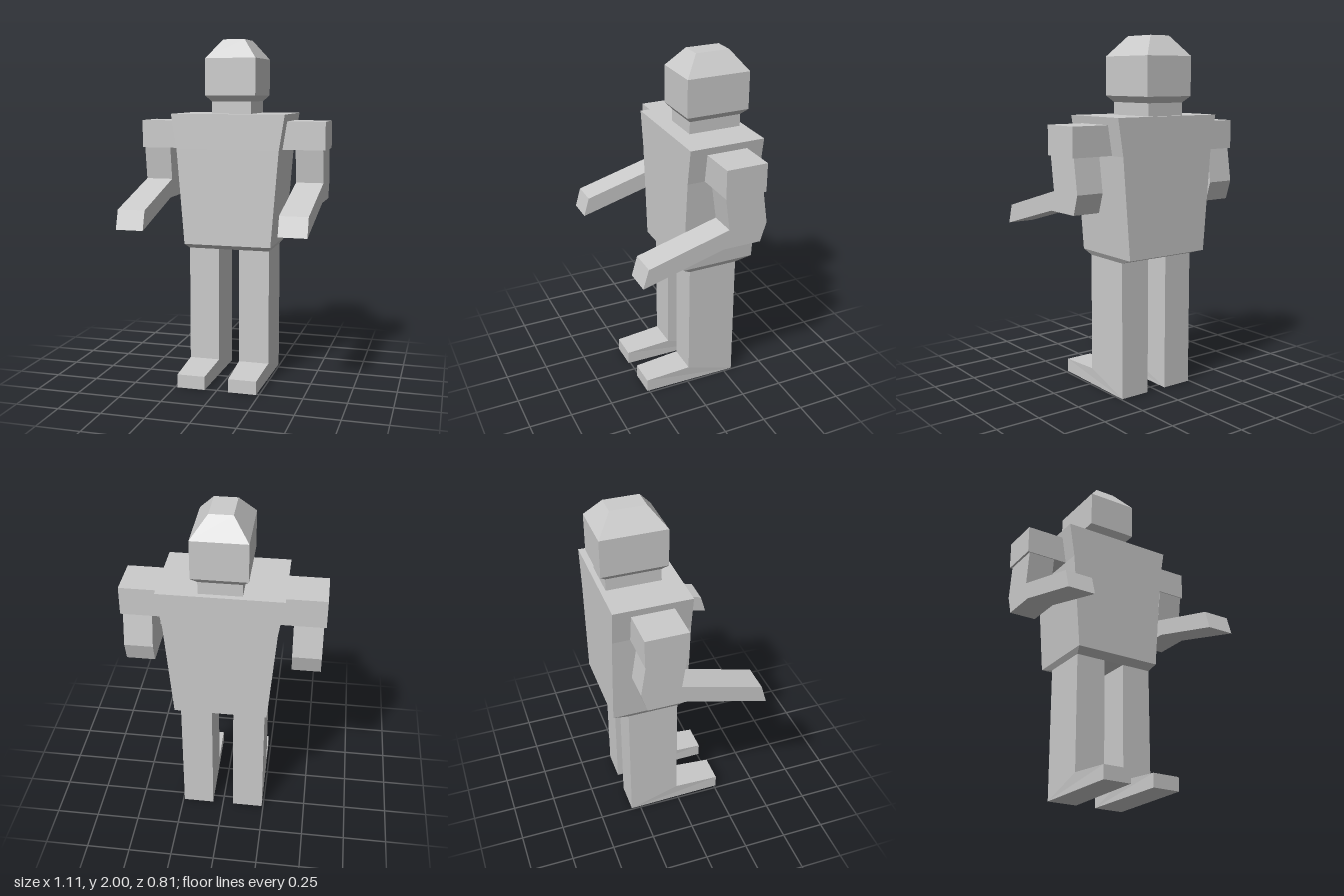
import * as THREE from 'three';

const material = new THREE.MeshStandardMaterial({ color: 0xcccccc, flatShading: true });

function add(parent, name, geometry) {
  const mesh = new THREE.Mesh(geometry, material);
  mesh.name = name;
  parent.add(mesh);
  return mesh;
}

// Solid through rectangular sections [y, half width, back z, front z], bottom to top
function loftRects(sections) {
  const positions = [];
  const rings = sections.map(([y, w, back, front]) => [[-w, y, front], [w, y, front], [w, y, back], [-w, y, back]]);
  const quad = (a, b, c, d) => positions.push(...a, ...b, ...c, ...a, ...c, ...d);
  for (let i = 0; i < rings.length - 1; i++) {
    const lo = rings[i], hi = rings[i + 1];
    for (let k = 0; k < 4; k++) {
      const n = (k + 1) % 4;
      quad(lo[k], lo[n], hi[n], hi[k]);
    }
  }
  quad(...rings[rings.length - 1]);
  quad(...[...rings[0]].reverse());
  const geometry = new THREE.BufferGeometry();
  geometry.setAttribute('position', new THREE.Float32BufferAttribute(positions, 3));
  geometry.computeVertexNormals();
  return geometry;
}

// Side outline of [z, y] points, extruded across x and centred on centreX
function sideProfile(points, width, centreX) {
  const shape = new THREE.Shape(points.map(([z, y]) => new THREE.Vector2(z, y)));
  const geometry = new THREE.ExtrudeGeometry(shape, { depth: width, bevelEnabled: false });
  geometry.rotateY(-Math.PI / 2);
  geometry.translate(centreX + width / 2, 0, 0);
  return geometry;
}

export function createModel() {
  const model = new THREE.Group();
  model.name = 'figure';

  // Torso, neck and head
  add(model, 'torso', loftRects([
    [0.775, 0.242, -0.305, -0.01],
    [0.805, 0.26, -0.4, 0.04],
    [1.365, 0.305, -0.4, 0.04],
    [1.57, 0.338, -0.4, 0.04],
  ]));
  add(model, 'neck', loftRects([
    [1.56, 0.117, -0.37, -0.06],
    [1.64, 0.117, -0.37, -0.06],
  ]));
  add(model, 'head', loftRects([
    [1.64, 0.117, -0.37, -0.06],
    [1.675, 0.15, -0.403, -0.03],
    [1.89, 0.15, -0.403, -0.03],
    [2, 0.063, -0.318, -0.118],
  ]));

  const armOutline = [
    [-0.29, 1.37], [-0.32, 1.175], [-0.285, 1.065], [-0.065, 1.065],
    [0.403, 0.935], [0.37, 1.045], [-0.095, 1.175], [-0.067, 1.37],
  ];
  const legOutline = [
    [-0.305, 0], [0.262, 0], [0.262, 0.078], [-0.01, 0.097], [-0.01, 0.78], [-0.305, 0.78],
  ];

  for (const [side, s] of [['left', 1], ['right', -1]]) {
    // Shoulder block and bent arm
    const shoulder = add(model, side + 'Shoulder', new THREE.BoxGeometry(0.265, 0.163, 0.238));
    shoulder.position.set(s * 0.4215, 1.447, -0.181);
    add(model, side + 'Arm', sideProfile(armOutline, 0.16, s * 0.461));

    // Leg with a foot that narrows towards the toe
    const centre = s * 0.152;
    const leg = sideProfile(legOutline, 0.18, centre);
    const p = leg.attributes.position;
    for (let i = 0; i < p.count; i++) {
      if (p.getZ(i) > 0.2) p.setX(i, centre + (p.getX(i) - centre) * 0.91);
    }
    leg.computeVertexNormals();
    add(model, side + 'Leg', leg);
  }
  return model;
}
